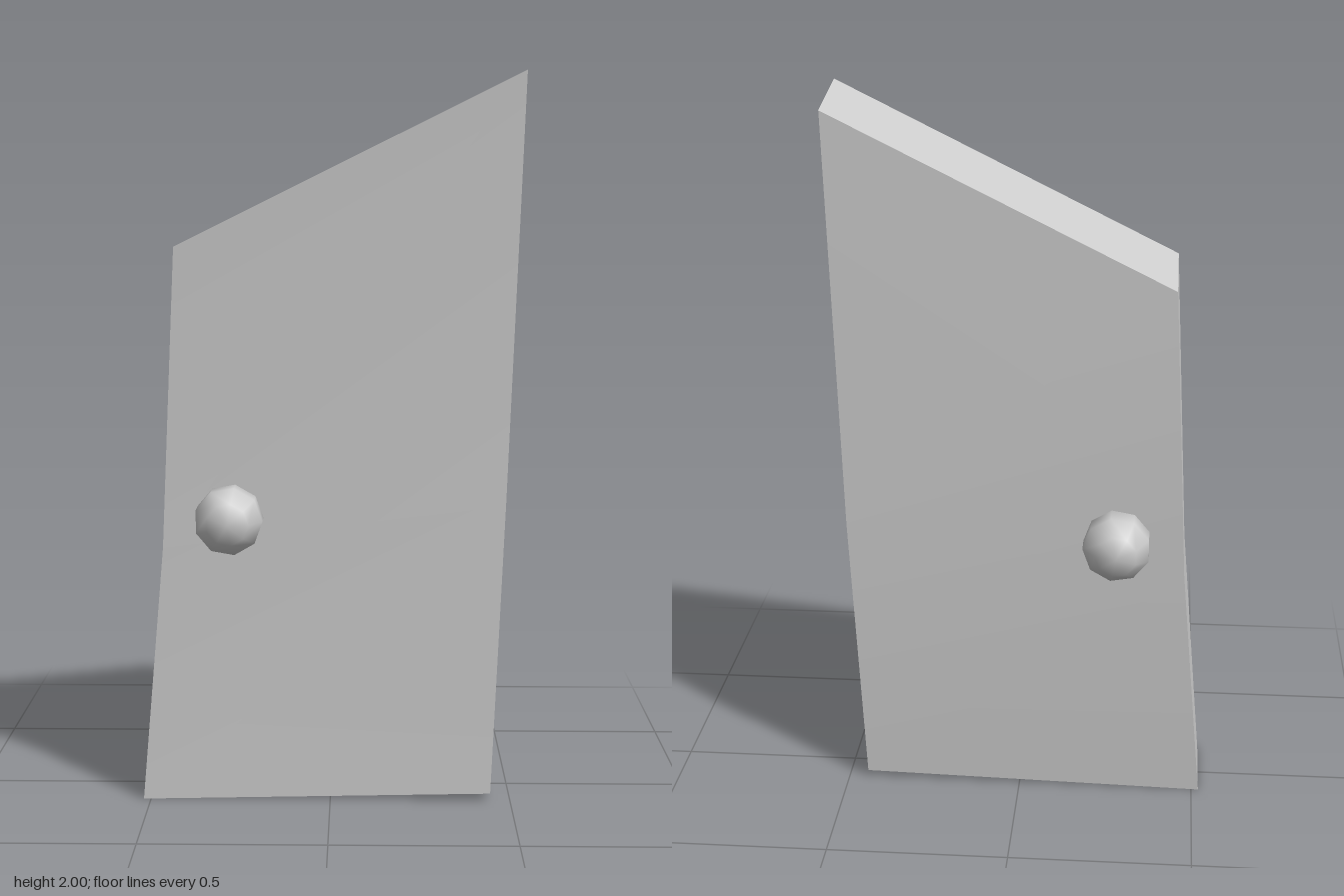
import * as THREE from 'three';
import { toCreasedNormals } from 'three/addons/utils/BufferGeometryUtils.js';

const material = new THREE.MeshStandardMaterial({ color: 0xcccccc });

// Slanted, slightly bent slab: each row holds the left and right [x, y],
// the front and back z, and how far the back edge drops.
const ROWS = [
  { left: [-0.52, 0], right: [0.445, 0.02], front: 0.147, back: -0.1, drop: 0 },
  { left: [-0.46, 0.71], right: [0.48, 0.83], front: 0.125, back: -0.124, drop: 0.02 },
  { left: [-0.42, 1.535], right: [0.52, 2], front: 0.147, back: -0.1, drop: 0.04 },
];

function createDoor() {
  const geometry = new THREE.BoxGeometry(1, 1, 1, 1, 2, 1);
  const p = geometry.attributes.position;
  for (let i = 0; i < p.count; i++) {
    const row = ROWS[Math.round((p.getY(i) + 0.5) * 2)];
    const [x, y] = p.getX(i) < 0 ? row.left : row.right;
    const isFront = p.getZ(i) > 0;
    p.setXYZ(i, x, isFront ? y : y - row.drop, isFront ? row.front : row.back);
  }
  const door = new THREE.Mesh(toCreasedNormals(geometry, 0.5), material);
  door.name = 'doorPanel';
  return door;
}

// Low-poly ball with its poles along z
function createKnob(name, z) {
  const geometry = new THREE.SphereGeometry(0.0975, 9, 5);
  geometry.rotateX(Math.PI / 2).rotateY(Math.PI);
  const knob = new THREE.Mesh(geometry, material);
  knob.position.set(-0.274, 0.8, z);
  knob.name = name;
  return knob;
}

export function createModel() {
  const model = new THREE.Group();
  model.name = 'door';
  model.add(createDoor(), createKnob('frontKnob', 0.183), createKnob('backKnob', -0.187));
  return model;
}
